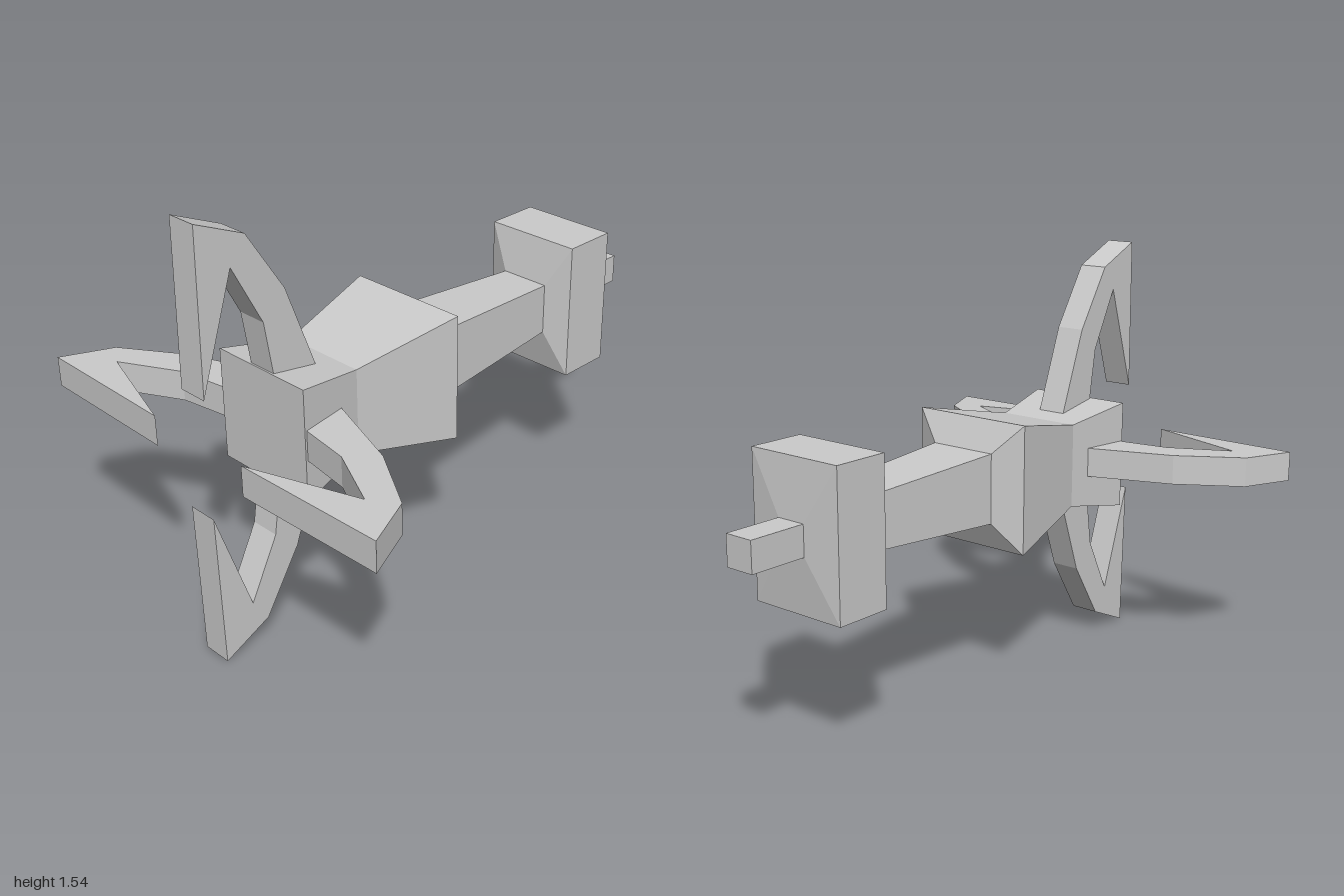
import * as THREE from 'three';

const AXIS_Y = 0.773;
const material = new THREE.MeshStandardMaterial({ color: 0xcccccc, flatShading: true });

// Closed rectangular loft; sections run front to back as [z, halfWidth, halfHeight]
function loft(name, sections) {
  const pos = [], index = [];
  for (const [z, w, h] of sections) pos.push(-w, -h, z, w, -h, z, w, h, z, -w, h, z);
  for (let s = 0; s < sections.length - 1; s++) {
    for (let i = 0; i < 4; i++) {
      const a = s * 4 + i, b = s * 4 + (i + 1) % 4;
      index.push(a, a + 4, b, b, a + 4, b + 4);
    }
  }
  const e = (sections.length - 1) * 4;
  index.push(0, 1, 2, 0, 2, 3, e, e + 2, e + 1, e, e + 3, e + 2);
  const indexed = new THREE.BufferGeometry();
  indexed.setAttribute('position', new THREE.Float32BufferAttribute(pos, 3));
  indexed.setIndex(index);
  const geometry = indexed.toNonIndexed();
  geometry.computeVertexNormals();
  const mesh = new THREE.Mesh(geometry, material);
  mesh.name = name;
  return mesh;
}

// Hooked arm: outline as (distance from axis, z), extruded to a flat bar
function armGeometry() {
  const outline = [
    [0.15, 0.555], [0.17, 0.56], [0.47, 0.67], [0.69, 0.81], [0.77, 0.99],
    [0.21, 1.0], [0.6, 0.87], [0.385, 0.76], [0.19, 0.73], [0.15, 0.72],
  ];
  const shape = new THREE.Shape(outline.map(([r, z]) => new THREE.Vector2(r, z)));
  const thickness = 0.108;
  return new THREE.ExtrudeGeometry(shape, { depth: thickness, bevelEnabled: false })
    .translate(0, 0, -thickness / 2)
    .rotateX(Math.PI / 2);
}

export function createModel() {
  const model = new THREE.Group();
  model.name = 'fourArmedTool';

  // Central shaft parts, front to back
  model.add(
    loft('headBlock', [[0.74, 0.2, 0.2], [0.48, 0.158, 0.155], [0.09, 0.233, 0.232], [0.04, 0.128, 0.126]]),
    loft('neck', [[0.04, 0.128, 0.126], [-0.525, 0.095, 0.095]]),
    loft('rearBlock', [[-0.525, 0.095, 0.095], [-0.56, 0.187, 0.257], [-0.768, 0.187, 0.257], [-0.786, 0.055, 0.054]]),
    loft('rearPeg', [[-0.78, 0.055, 0.054], [-1, 0.055, 0.054]]),
  );

  // Four arms around the axis
  const geometry = armGeometry();
  ['leftArm', 'topArm', 'rightArm', 'bottomArm'].forEach((name, i) => {
    const arm = new THREE.Mesh(geometry, material);
    arm.name = name;
    arm.rotation.z = i * Math.PI / 2;
    model.add(arm);
  });

  for (const part of model.children) part.position.y = AXIS_Y;
  return model;
}
